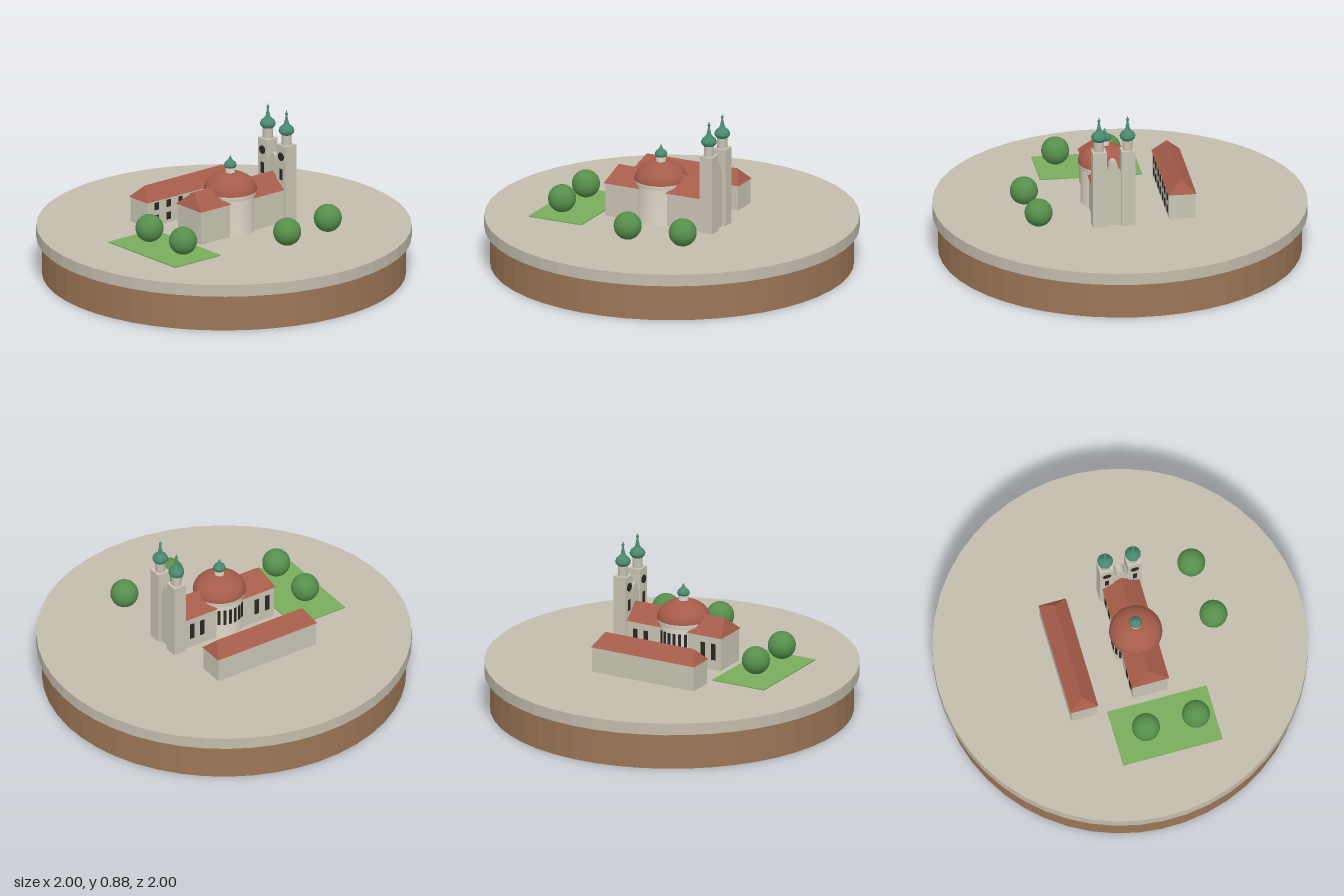
import * as THREE from 'three';
import { ConvexGeometry } from 'three/addons/geometries/ConvexGeometry.js';

const mat = (name, color) => {
  const m = new THREE.MeshStandardMaterial({ color });
  m.name = name;
  return m;
};
const GROUND = 0.265;

export function createModel() {
  const paving = mat('paving', 0xc2bcac);
  const earth = mat('earth', 0x9c7656);
  const stone = mat('stone', 0xc8c3b3);
  const cream = mat('cream', 0xdfd8c8);
  const tile = mat('roof tile', 0xa65c4a);
  const copper = mat('copper', 0x4a8a70);
  const leaf = mat('leaf', 0x568f4c);
  const grass = mat('grass', 0x78ac5c);
  const dark = mat('dark glass', 0x2a2724);

  const model = new THREE.Group();
  model.name = 'churchOnPlinth';
  const add = (parent, name, geo, m, x = 0, y = 0, z = 0) => {
    const mesh = new THREE.Mesh(geo, m);
    mesh.name = name;
    mesh.position.set(x, y, z);
    parent.add(mesh);
    return mesh;
  };
  // Box standing on height y
  const box = (parent, name, m, w, h, d, x, y, z) =>
    add(parent, name, new THREE.BoxGeometry(w, h, d), m, x, y + h / 2, z);
  // Faceted disc
  const disc = (r, h) => {
    const g = new THREE.CylinderGeometry(r, r, h, 48).toNonIndexed();
    g.computeVertexNormals();
    return g;
  };
  const lathe = (pts, seg = 24) =>
    new THREE.LatheGeometry(pts.map(([r, y]) => new THREE.Vector2(r, y)), seg);
  // Pitched roof, with each end of the ridge pulled in to form a hip
  const roof = (w, h, z0, z1, in0, in1) => new ConvexGeometry([
    [-w / 2, 0, z0], [w / 2, 0, z0], [-w / 2, 0, z1], [w / 2, 0, z1],
    [0, h, z0 + in0], [0, h, z1 - in1],
  ].map((p) => new THREE.Vector3(...p)));

  // Plinth
  add(model, 'earthBase', disc(0.97, 0.2), earth, 0, 0.1, 0);
  add(model, 'pavedTop', disc(1, 0.065), paving, 0, 0.2325, 0);

  // Everything built follows one turned axis through the dome
  const site = new THREE.Group();
  site.name = 'site';
  site.position.set(0.067, GROUND, 0.05);
  site.rotation.y = -0.35;
  model.add(site);

  // Lawn
  box(site, 'lawn', grass, 0.55, 0.006, 0.315, 0.026, 0, 0.48);

  // Nave and choir
  box(site, 'naveWalls', stone, 0.192, 0.185, 0.58, 0, 0, -0.005);
  add(site, 'naveRoof', roof(0.206, 0.083, -0.3, 0.292, 0, 0.038), tile, 0, 0.183, 0);
  for (const z of [-0.24, -0.175, 0.175, 0.24])
    box(site, 'naveWindow', dark, 0.006, 0.09, 0.026, -0.097, 0.055, z);

  // Drum, dome and lantern
  add(site, 'drum', lathe([[0.128, 0], [0.128, 0.195], [0.137, 0.205], [0.137, 0.228]], 40), cream);
  for (let i = 0; i < 6; i++) {
    const a = (i - 2.5) * 0.24;
    box(site, 'drumWindow', dark, 0.008, 0.09, 0.016,
      -0.127 * Math.cos(a), 0.08, 0.127 * Math.sin(a)).rotation.y = a;
  }
  const domePts = [[0, 0], [0.142, 0]];
  for (let i = 0; i <= 10; i++) {
    const a = (i / 10) * Math.PI / 2;
    domePts.push([0.142 * Math.cos(a), 0.1 * Math.sin(a)]);
  }
  add(site, 'dome', lathe(domePts, 40), tile, 0, 0.225, 0);
  add(site, 'lantern', new THREE.CylinderGeometry(0.026, 0.026, 0.05, 16), cream, 0, 0.335, 0);
  add(site, 'lanternCap', lathe([[0, 0], [0.03, 0], [0.034, 0.012], [0.029, 0.025],
    [0.013, 0.039], [0.007, 0.05], [0, 0.068]]), copper, 0, 0.352, 0);

  // Pair of towers
  for (const side of [-1, 1]) {
    const tower = new THREE.Group();
    tower.name = side < 0 ? 'rightTower' : 'leftTower';
    tower.position.set(side * 0.077, 0, -0.327);
    site.add(tower);
    box(tower, 'towerShaft', stone, 0.075, 0.427, 0.075, 0, 0, 0);
    add(tower, 'belfry', new THREE.CylinderGeometry(0.028, 0.028, 0.065, 8), stone, 0, 0.457, 0);
    add(tower, 'onionDome', lathe([[0, 0], [0.03, 0], [0.04, 0.012], [0.042, 0.023], [0.036, 0.038],
      [0.022, 0.05], [0.013, 0.062], [0.009, 0.08], [0.004, 0.108], [0, 0.112]]), copper, 0, 0.484, 0);
    add(tower, 'finial', new THREE.SphereGeometry(0.008, 12, 8), copper, 0, 0.598, 0);
    add(tower, 'spike', new THREE.CylinderGeometry(0.002, 0.004, 0.03, 8), copper, 0, 0.6, 0);
    add(tower, 'clockFace', new THREE.CylinderGeometry(0.023, 0.023, 0.006, 20), dark,
      0, 0.365, 0.038).rotation.x = Math.PI / 2;
    box(tower, 'towerWindow', dark, 0.022, 0.06, 0.006, 0, 0.235, 0.038);
  }

  // Curved gable between the towers
  const gable = new THREE.Shape();
  gable.moveTo(-0.042, 0);
  gable.lineTo(0.042, 0);
  gable.lineTo(0.042, 0.3);
  gable.quadraticCurveTo(0.026, 0.305, 0.024, 0.34);
  gable.quadraticCurveTo(0.016, 0.366, 0, 0.367);
  gable.quadraticCurveTo(-0.016, 0.366, -0.024, 0.34);
  gable.quadraticCurveTo(-0.026, 0.305, -0.042, 0.3);
  add(site, 'gable', new THREE.ExtrudeGeometry(gable, { depth: 0.05, bevelEnabled: false, curveSegments: 6 }),
    stone, 0, 0, -0.345);

  // Long wing beside the church
  const wing = new THREE.Group();
  wing.name = 'longWing';
  wing.position.set(-0.375, 0, 0.008);
  site.add(wing);
  box(wing, 'wingWalls', stone, 0.142, 0.14, 0.624, 0, 0, 0);
  add(wing, 'wingRoof', roof(0.152, 0.072, -0.317, 0.317, 0.045, 0.045), tile, 0, 0.138, 0);
  for (let i = 0; i < 7; i++)
    for (const y of [0.018, 0.088])
      box(wing, 'wingWindow', dark, 0.006, 0.04, 0.026, 0.072, y, (i - 3) * 0.083);

  // Round trees
  for (const [x, z] of [[-0.18, 0.485], [0.08, 0.58], [0.487, 0.175], [0.562, -0.13]])
    add(model, 'tree', new THREE.SphereGeometry(0.075, 24, 16), leaf, x, 0.36, z);

  return model;
}
